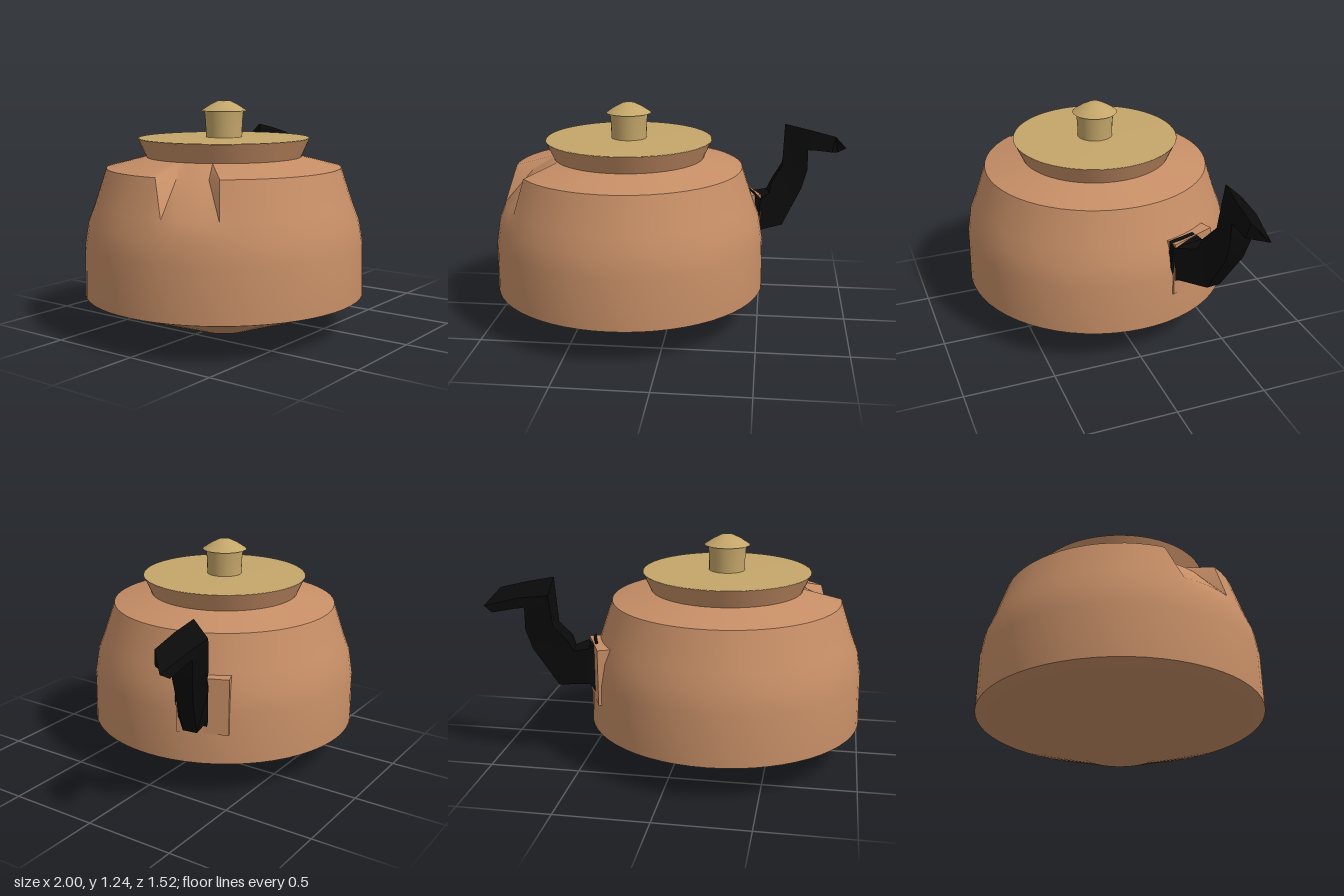
import * as THREE from 'three';
import { toCreasedNormals } from 'three/addons/utils/BufferGeometryUtils.js';

const CX = -0.24; // axis of the pot

const paint = (color) => new THREE.MeshStandardMaterial({ color, side: THREE.DoubleSide });
const copper = paint(0xc68e66);
const brass = paint(0xc4a66a);
const black = paint(0x0a0a0a);

function part(name, geometry, material) {
  const mesh = new THREE.Mesh(geometry, material);
  mesh.name = name;
  return mesh;
}

function turned(profile, segments) {
  return new THREE.LatheGeometry(profile.map(([r, y]) => new THREE.Vector2(r, y)), segments);
}

// Skin four-cornered cross-sections into a closed bar
function loft(sections) {
  const pos = sections.flat(2);
  const index = [];
  for (let s = 0; s < sections.length - 1; s++) {
    for (let i = 0; i < 4; i++) {
      const a = s * 4 + i, b = s * 4 + ((i + 1) % 4);
      index.push(a, b, a + 4, b, b + 4, a + 4);
    }
  }
  const e = (sections.length - 1) * 4;
  index.push(0, 2, 1, 0, 3, 2, e, e + 1, e + 2, e, e + 2, e + 3);
  const g = new THREE.BufferGeometry();
  g.setAttribute('position', new THREE.Float32BufferAttribute(pos, 3));
  g.setIndex(index);
  return toCreasedNormals(g, 0.5);
}

// Pot body, with a shallow flat notch pressed into the shoulder for the spout
function bodyGeometry() {
  const g = turned([
    [0, 0], [0.2, 0], [0.76, 0.2], [0.755, 0.48], [0.735, 0.6], [0.7, 0.69],
    [0.635, 0.885], [0.42, 0.94], [0.465, 1.04],
  ], 60);
  const p = g.attributes.position;
  const mid = THREE.MathUtils.degToRad(157);
  for (let i = 0; i < p.count; i++) {
    const x = p.getX(i), z = p.getZ(i), y = p.getY(i);
    const near = Math.abs(Math.atan2(z, x) - mid) < 0.2;
    if (near && y > 0.8 && y < 0.9) {
      const k = 0.54 / Math.hypot(x, z);
      p.setXYZ(i, x * k, 0.87, z * k);
    }
  }
  return toCreasedNormals(g, 0.7);
}

export function createModel() {
  const model = new THREE.Group();
  model.name = 'teapot';

  const pot = new THREE.Group();
  pot.name = 'pot';
  pot.position.x = CX;
  model.add(pot);
  pot.add(part('body', bodyGeometry(), copper));

  // Flat lid and its turned knob
  pot.add(part('lid', turned([[0.465, 1.038], [0.46, 1.042], [0, 1.045]], 60), brass));
  const knob = turned([
    [0.098, 1.04], [0.1, 1.12], [0.106, 1.185], [0.125, 1.185], [0.08, 1.215], [0.035, 1.238], [0, 1.24],
  ], 32);
  pot.add(part('knob', toCreasedNormals(knob, 0.7), brass));

  // Mounting plate on the side of the body
  const plate = part('handlePlate', new THREE.BoxGeometry(0.08, 0.31, 0.28), copper);
  plate.position.set(0.41, 0.525, -0.3);
  plate.rotation.y = 0.4;
  model.add(plate);

  // Bent handle; corners run upper front, lower front, lower back, upper back
  model.add(part('handle', loft([
    [[0.47, 0.69, -0.165], [0.47, 0.37, -0.165], [0.42, 0.37, -0.32], [0.42, 0.69, -0.32]],
    [[0.5, 0.66, -0.175], [0.5, 0.46, -0.2], [0.46, 0.46, -0.36], [0.46, 0.66, -0.36]],
    [[0.55, 0.66, -0.29], [0.63, 0.46, -0.32], [0.62, 0.46, -0.4], [0.53, 0.66, -0.41]],
    [[0.56, 0.72, -0.31], [0.74, 0.68, -0.36], [0.74, 0.68, -0.46], [0.56, 0.72, -0.42]],
    [[0.62, 0.81, -0.36], [0.77, 0.79, -0.36], [0.77, 0.79, -0.48], [0.62, 0.81, -0.47]],
    [[0.63, 1.06, -0.39], [0.77, 0.91, -0.365], [0.77, 0.91, -0.48], [0.64, 0.98, -0.48]],
    [[0.77, 1.03, -0.38], [0.8, 0.91, -0.365], [0.83, 0.9, -0.48], [0.8, 0.96, -0.48]],
    [[0.93, 0.99, -0.38], [0.91, 0.9, -0.365], [0.95, 0.875, -0.48], [1.0, 0.905, -0.46]],
  ]), black));

  return model;
}
